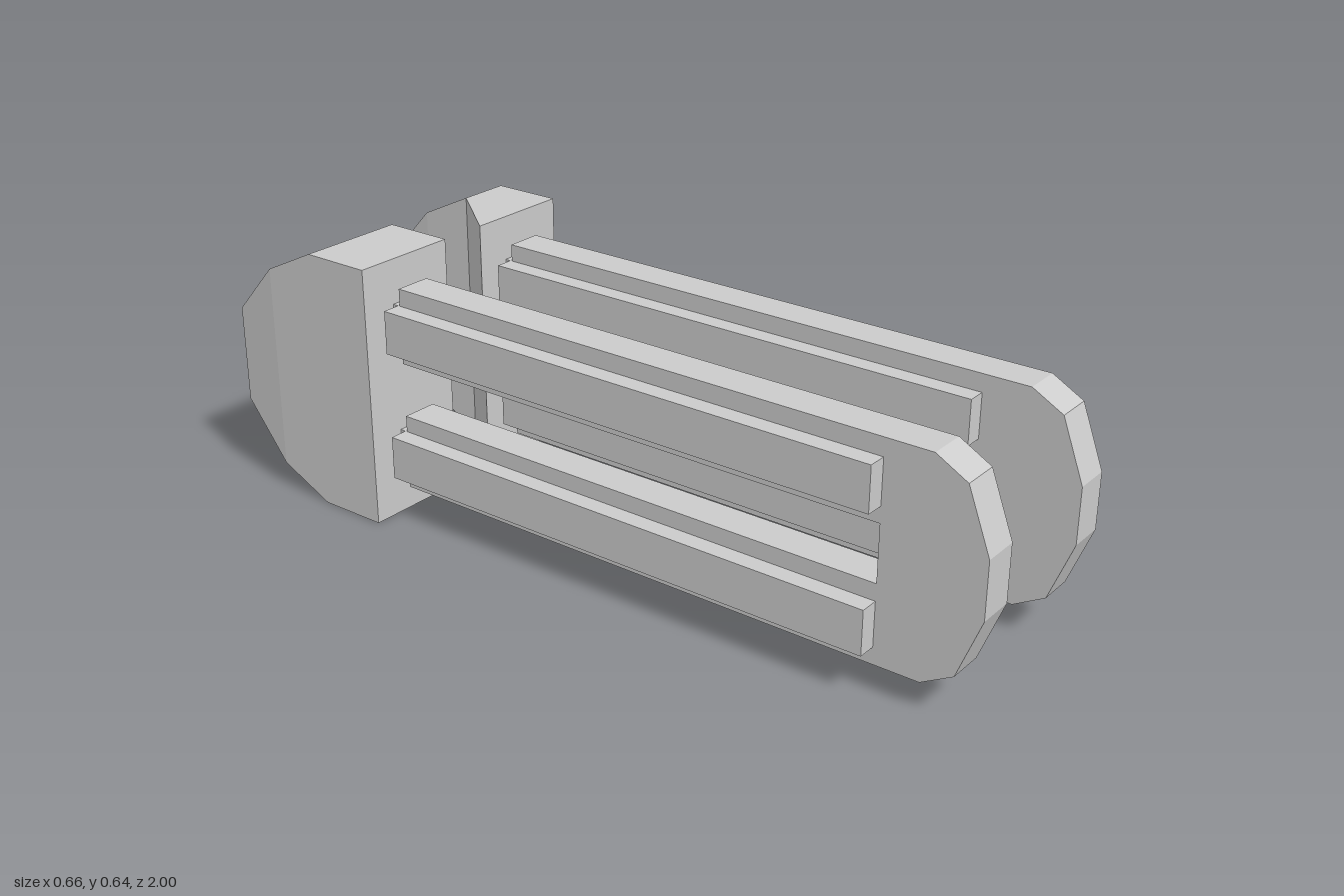
import * as THREE from 'three';

const material = new THREE.MeshStandardMaterial({ color: 0xcccccc, flatShading: true });

function addMesh(parent, name, geometry) {
  const mesh = new THREE.Mesh(geometry, material);
  mesh.name = name;
  parent.add(mesh);
}

// Box given by its min and max on each axis
function boxBetween(x0, x1, y0, y1, z0, z1) {
  return new THREE.BoxGeometry(x1 - x0, y1 - y0, z1 - z0)
    .translate((x0 + x1) / 2, (y0 + y1) / 2, (z0 + z1) / 2);
}

// Loft of rectangular sections, listed from front (+z) to back: [z, x0, x1, y0, y1]
function loftRectangles(sections) {
  const rings = sections.map(([z, x0, x1, y0, y1]) =>
    [[x0, y0, z], [x1, y0, z], [x1, y1, z], [x0, y1, z]]);
  const positions = [];
  const quad = (a, b, c, d) => positions.push(...a, ...b, ...c, ...a, ...c, ...d);
  quad(...rings[0]);
  for (let i = 0; i < rings.length - 1; i++) {
    const f = rings[i], b = rings[i + 1];
    for (let k = 0; k < 4; k++) {
      const n = (k + 1) % 4;
      quad(f[k], b[k], b[n], f[n]);
    }
  }
  quad(...rings[rings.length - 1].slice().reverse());
  const geometry = new THREE.BufferGeometry();
  geometry.setAttribute('position', new THREE.Float32BufferAttribute(positions, 3));
  geometry.computeVertexNormals();
  return geometry;
}

// Flat two-legged frame with a faceted nose, outlined in (z, y)
function framePlate(width) {
  const upper = [[-0.535, 0.387], [-0.535, 0.573], [0.87, 0.573], [0.945, 0.531], [1, 0.387]];
  const lower = upper.map(([z, y]) => [z, 0.64 - y]).reverse();
  const outline = [...upper, ...lower, [0.76, 0.253], [0.76, 0.387]];
  const shape = new THREE.Shape(outline.map(([z, y]) => new THREE.Vector2(z, y)));
  return new THREE.ExtrudeGeometry(shape, { depth: width, bevelEnabled: false })
    .translate(0, 0, -width / 2)
    .rotateY(-Math.PI / 2);
}

// One fork: frame plate, side ribs and necks into the head
function addFork(parent, x) {
  const fork = new THREE.Group();
  fork.name = 'fork';
  fork.position.x = x;
  addMesh(fork, 'framePlate', framePlate(0.09));
  for (const y of [0.107, 0.425]) {
    for (const side of [-1, 1]) {
      const xs = [side * 0.045, side * 0.09].sort((a, b) => a - b);
      addMesh(fork, 'sideRib', boxBetween(xs[0], xs[1], y, y + 0.106, -0.54, 0.76));
    }
    addMesh(fork, 'neck', boxBetween(-0.045, 0.045, y, y + 0.106, -0.56, -0.535));
  }
  parent.add(fork);
}

export function createModel() {
  const model = new THREE.Group();
  model.name = 'twinForks';

  addFork(model, -0.194);
  addFork(model, 0.193);

  // Full-width head
  addMesh(model, 'wideHead', loftRectangles([
    [-0.555, -0.33, -0.06, 0, 0.64],
    [-0.73, -0.33, -0.06, 0, 0.64],
    [-0.87, -0.33, -0.06, 0.066, 0.573],
    [-1, -0.317, -0.073, 0.2, 0.44],
  ]));

  // Head cut away diagonally on its inner side
  addMesh(model, 'cutHead', loftRectangles([
    [-0.555, 0.06, 0.33, 0, 0.64],
    [-0.73, 0.2, 0.33, 0, 0.64],
    [-0.87, 0.2, 0.33, 0.066, 0.573],
    [-1, 0.21, 0.317, 0.2, 0.44],
  ]));

  return model;
}
